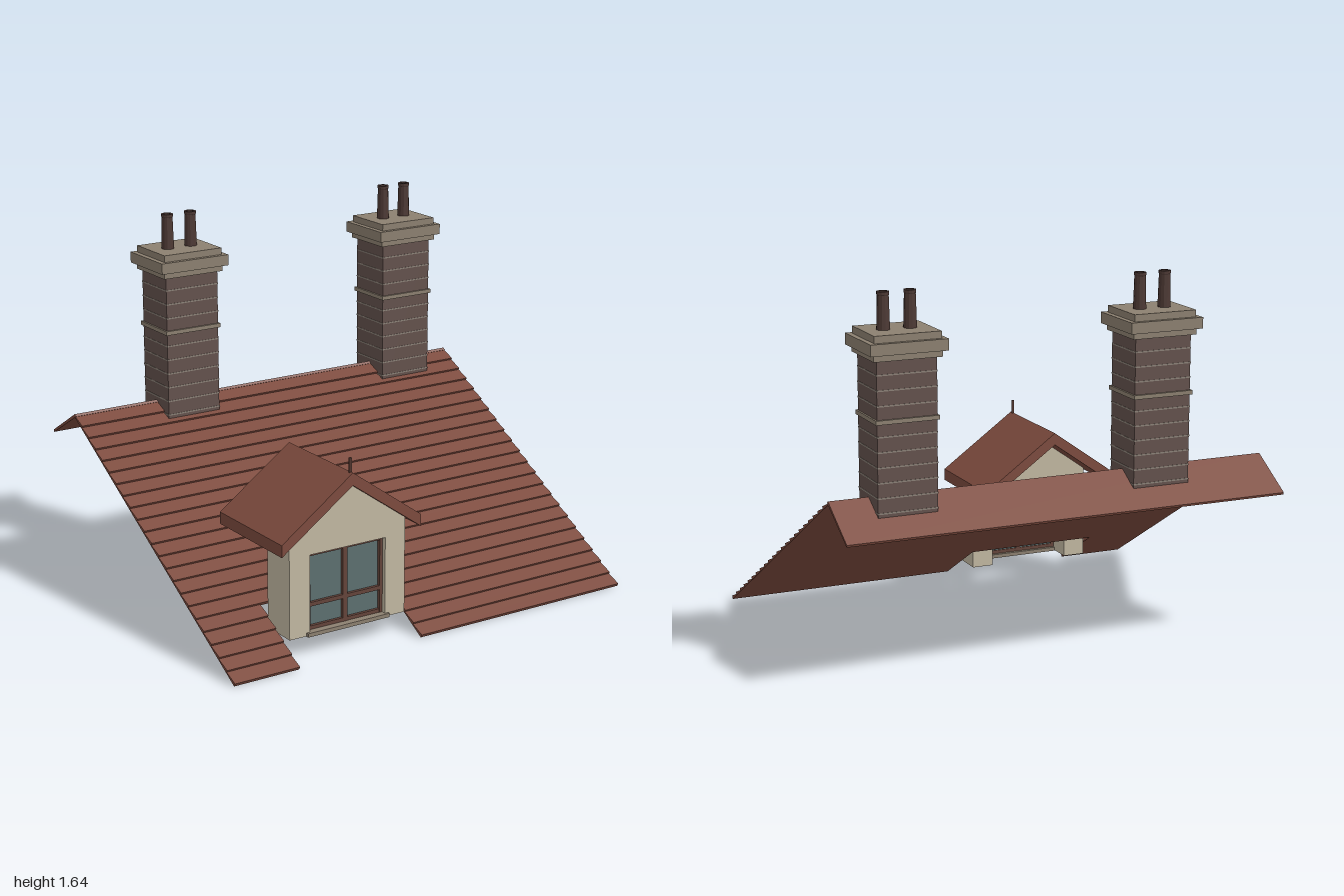
import * as THREE from 'three';

const mat = (name, color, side = THREE.FrontSide) => {
  const m = new THREE.MeshStandardMaterial({ color, side });
  m.name = name;
  return m;
};

export function createModel() {
  const root = new THREE.Group();
  root.name = 'roofWithDormer';
  const tile = mat('terracotta tile', 0x7d4b3e);
  const brick = mat('dark brick', 0x63514c);
  const mortar = mat('mortar', 0x8c8278);
  const stone = mat('cap stone', 0x8c8070);
  const pot = mat('chimney pot clay', 0x4c3833, THREE.DoubleSide);
  const plaster = mat('cream plaster', 0xc2b8a2);
  const frame = mat('window frame', 0x64443a);
  const glass = mat('window glass', 0x5c6f70);

  const add = (parent, name, geo, material) => {
    const m = new THREE.Mesh(geo, material);
    m.name = name;
    parent.add(m);
    return m;
  };
  // Box given by its limits on each axis
  const box = (parent, name, material, x0, x1, y0, y1, z0, z1) => {
    const m = add(parent, name, new THREE.BoxGeometry(x1 - x0, y1 - y0, z1 - z0), material);
    m.position.set((x0 + x1) / 2, (y0 + y1) / 2, (z0 + z1) / 2);
    return m;
  };
  const shapeOf = pts => new THREE.Shape(pts.map(p => new THREE.Vector2(p[0], p[1])));
  // Profile of [z, y] points extruded along x
  const extrudeX = (pts, x0, x1) => {
    const g = new THREE.ExtrudeGeometry(shapeOf(pts.map(([z, y]) => [-z, y])), { depth: x1 - x0, bevelEnabled: false });
    return g.rotateY(Math.PI / 2).translate(x0, 0, 0);
  };
  // Profile of [x, y] points extruded along z
  const extrudeZ = (pts, z0, z1) =>
    new THREE.ExtrudeGeometry(shapeOf(pts), { depth: z1 - z0, bevelEnabled: false }).translate(0, 0, z0);

  // Main roof: overlapping tile courses as a sawtooth profile
  const eave = [0.775, 0], ridge = [-0.565, 0.785], rows = 22;
  const len = Math.hypot(ridge[0] - eave[0], ridge[1] - eave[1]);
  const nz = (ridge[1] - eave[1]) / len, ny = (eave[0] - ridge[0]) / len;
  const onSlope = (row, lift) => {
    const t = row / rows;
    return [eave[0] + (ridge[0] - eave[0]) * t + nz * lift, eave[1] + (ridge[1] - eave[1]) * t + ny * lift];
  };
  const courses = (from, to) => {
    const pts = [onSlope(from, 0)];
    for (let i = from; i < to; i++) pts.push(onSlope(i, 0.016), onSlope(i + 1, 0.006));
    pts.push(onSlope(to, 0));
    return pts;
  };
  const roof = new THREE.Group();
  roof.name = 'mainRoof';
  root.add(roof);
  const cut = 5; // courses interrupted by the dormer
  add(roof, 'upperCourses', extrudeX(courses(cut, rows), -1, 1), tile);
  add(roof, 'lowerCoursesRight', extrudeX(courses(0, cut), -1, -0.69), tile);
  add(roof, 'lowerCoursesLeft', extrudeX(courses(0, cut), -0.08, 1), tile);
  add(roof, 'backSlope', extrudeX([[-0.555, 0.791], [-0.565, 0.8], [-0.78, 0.673], [-0.776, 0.663], [-0.565, 0.785]], -1, 1), tile);

  // Dormer
  const dormer = new THREE.Group();
  dormer.name = 'dormer';
  root.add(dormer);
  const cx = -0.387;
  add(dormer, 'gableWall', extrudeZ([
    [-0.675, 0.09], [-0.575, 0.09], [-0.575, 0.445], [-0.2, 0.445], [-0.2, 0.09], [-0.1, 0.09],
    [-0.1, 0.518], [cx, 0.722], [-0.675, 0.518]], 0.51, 0.68), plaster);
  add(dormer, 'dormerRoof', extrudeZ([
    [-0.732, 0.475], [cx, 0.72], [-0.042, 0.475], [-0.042, 0.528], [cx, 0.775], [-0.732, 0.528]], 0.225, 0.715), tile);
  box(dormer, 'finial', frame, cx - 0.005, cx + 0.005, 0.76, 0.835, 0.69, 0.7);

  // Window
  const win = new THREE.Group();
  win.name = 'window';
  dormer.add(win);
  box(win, 'pane', glass, -0.575, -0.2, 0.1, 0.445, 0.636, 0.644);
  for (const [x0, x1] of [[-0.575, -0.561], [cx - 0.011, cx + 0.011], [-0.214, -0.2]])
    box(win, 'frameUpright', frame, x0, x1, 0.105, 0.445, 0.63, 0.66);
  for (const [y0, y1] of [[0.105, 0.121], [0.207, 0.225], [0.43, 0.445]])
    box(win, 'frameRail', frame, -0.575, -0.2, y0, y1, 0.631, 0.658);
  box(win, 'sill', stone, -0.592, -0.183, 0.088, 0.105, 0.615, 0.692);

  // Chimneys
  const potProfile = [[0.016, 0], [0.028, 0], [0.024, 0.14], [0.026, 0.143], [0.026, 0.155], [0.016, 0.155], [0.016, 0.002]]
    .map(p => new THREE.Vector2(p[0], p[1]));
  const potGeo = new THREE.LatheGeometry(potProfile, 12).toNonIndexed();
  potGeo.computeVertexNormals();
  for (const x of [-0.458, 0.695]) {
    const chimney = new THREE.Group();
    chimney.name = 'chimney';
    chimney.position.set(x, 0, -0.565);
    root.add(chimney);
    const layer = (name, m, w, d, y0, y1) => box(chimney, name, m, -w / 2, w / 2, y0, y1, -d / 2, d / 2);
    layer('shaft', brick, 0.26, 0.215, 0.65, 1.38);
    for (let i = 0; i < 11; i++) {
      const y = 0.69 + i * 0.0632;
      if (i !== 7) layer('mortarCourse', mortar, 0.263, 0.218, y - 0.003, y + 0.003);
    }
    layer('stringBand', stone, 0.276, 0.234, 1.122, 1.14);
    layer('capLower', stone, 0.295, 0.25, 1.38, 1.407);
    layer('capMiddle', stone, 0.335, 0.287, 1.407, 1.455);
    layer('capUpper', stone, 0.288, 0.248, 1.455, 1.485);
    for (const px of [-0.058, 0.058]) add(chimney, 'chimneyPot', potGeo, pot).position.set(px, 1.485, 0);
  }
  return root;
}
